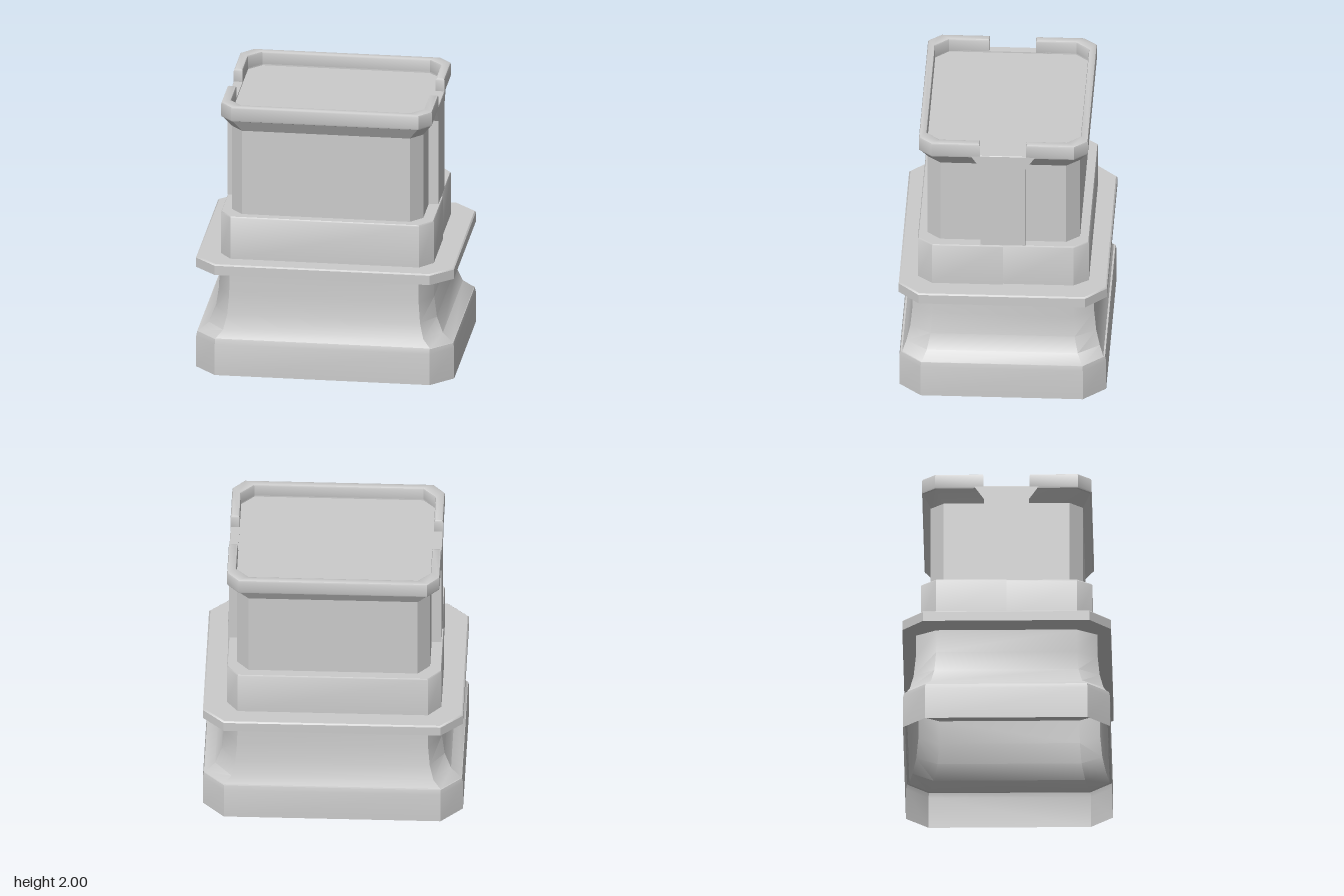
import * as THREE from 'three';
import { toCreasedNormals } from 'three/addons/utils/BufferGeometryUtils.js';

const material = new THREE.MeshStandardMaterial({ color: 0xcccccc, side: THREE.DoubleSide });

// Rectangle with cut corners at height y: half sizes hx, hz; corners start at cx, cz.
// A step shifts one half of each short side slightly inwards.
function ring(y, hx, hz, cx, cz, step = 0) {
  const half = [[-cx, hz], [cx, hz], [hx, cz]];
  if (step) half.push([hx, 0], [hx - step, 0]);
  const other = [[cx, -hz], [-cx, -hz], [-hx, -cz]];
  if (step) other.push([-hx, 0], [step - hx, 0]);
  return [...half, [hx - step, -cz], ...other, [step - hx, cz]].map(([x, z]) => [x, y, z]);
}

// Skin over a stack of equal-length rings, optionally closed at the end.
function loft(rings, cap = false) {
  const p = [];
  for (let k = 0; k < rings.length - 1; k++) {
    const a = rings[k], b = rings[k + 1], n = a.length;
    for (let i = 0; i < n; i++) {
      const j = (i + 1) % n;
      p.push(...a[i], ...a[j], ...b[j], ...a[i], ...b[j], ...b[i]);
    }
  }
  if (cap) {
    const t = rings[rings.length - 1];
    for (let i = 1; i < t.length - 1; i++) p.push(...t[0], ...t[i], ...t[i + 1]);
  }
  const g = new THREE.BufferGeometry();
  g.setAttribute('position', new THREE.Float32BufferAttribute(p, 3));
  return toCreasedNormals(g, 0.6);
}

export function createModel() {
  const model = new THREE.Group();
  const add = (name, geometry, turn = 0) => {
    const mesh = new THREE.Mesh(geometry, material);
    mesh.name = name;
    mesh.rotation.y = turn;
    model.add(mesh);
  };
  const stack = (name, rows, cap) => add(name, loft(rows.map((r) => ring(...r)), cap));

  // Plinth, open underneath
  stack('plinth', [
    [0, 0.93, 0.74, 0.775, 0.58],
    [0.235, 0.93, 0.74, 0.775, 0.58],
    [0.27, 0.923, 0.732, 0.773, 0.578],
    [0.272, 0.91, 0.715, 0.77, 0.57],
  ]);

  // Concave flare up to the slab
  stack('flaredFoot', [
    [0.27, 0.92, 0.72, 0.775, 0.575],
    [0.33, 0.843, 0.692, 0.722, 0.54],
    [0.44, 0.797, 0.665, 0.695, 0.515],
    [0.59, 0.776, 0.65, 0.683, 0.503],
    [0.765, 0.77, 0.648, 0.68, 0.5],
  ]);

  // Projecting slab
  stack('ledge', [
    [0.765, 0.77, 0.61, 0.68, 0.5],
    [0.765, 0.93, 0.745, 0.775, 0.595],
    [0.835, 0.93, 0.745, 0.775, 0.595],
    [0.845, 0.92, 0.735, 0.77, 0.59],
    [0.845, 0.76, 0.605, 0.675, 0.5],
  ]);

  // Middle tier with a slight step halfway along each short side
  stack('middleTier', [
    [0.845, 0.773, 0.612, 0.68, 0.505, 0.012],
    [1.155, 0.773, 0.612, 0.68, 0.505, 0.012],
    [1.165, 0.768, 0.607, 0.677, 0.502, 0.012],
    [1.165, 0.69, 0.54, 0.6, 0.445, 0.012],
  ]);

  // Tower walls
  stack('towerWalls', [
    [1.165, 0.69, 0.545, 0.605, 0.45],
    [1.8, 0.69, 0.545, 0.605, 0.45],
  ]);

  // Splayed cornice, sill and roof floor
  stack('corniceAndFloor', [
    [1.8, 0.69, 0.545, 0.605, 0.45],
    [1.9, 0.76, 0.605, 0.675, 0.51],
    [1.905, 0.757, 0.602, 0.673, 0.508],
    [1.905, 0.695, 0.55, 0.605, 0.455],
    [1.895, 0.695, 0.55, 0.605, 0.455],
  ], true);

  // Side pilasters, widening where they meet the cornice
  const slice = (y, inner, w) => [[inner, y, w], [0.76, y, w], [0.76, y, -w], [inner, y, -w]];
  const pilaster = loft([slice(1.165, 0.685, 0.16), slice(1.8, 0.685, 0.16), slice(1.9, 0.7, 0.23)], true);

  // Half of the parapet; the gaps between the halves form the side notches
  const outline = [[0.76, 0.165], [0.76, 0.51], [0.675, 0.605], [-0.675, 0.605], [-0.76, 0.51], [-0.76, 0.165],
    [-0.695, 0.165], [-0.695, 0.455], [-0.605, 0.55], [0.605, 0.55], [0.695, 0.455], [0.695, 0.165]];
  const parapet = new THREE.ExtrudeGeometry(
    new THREE.Shape(outline.map(([x, y]) => new THREE.Vector2(x, y))),
    { depth: 0.085, bevelThickness: 0.015, bevelSize: 0.012, bevelOffset: -0.012, bevelSegments: 2 });
  parapet.rotateX(-Math.PI / 2).translate(0, 1.9, 0);
  const parapetSmooth = toCreasedNormals(parapet, 0.6);

  for (const [side, end, turn] of [['left', 'back', 0], ['right', 'front', Math.PI]]) {
    add(side + 'Pilaster', pilaster, turn);
    add(end + 'Parapet', parapetSmooth, turn);
  }
  return model;
}
